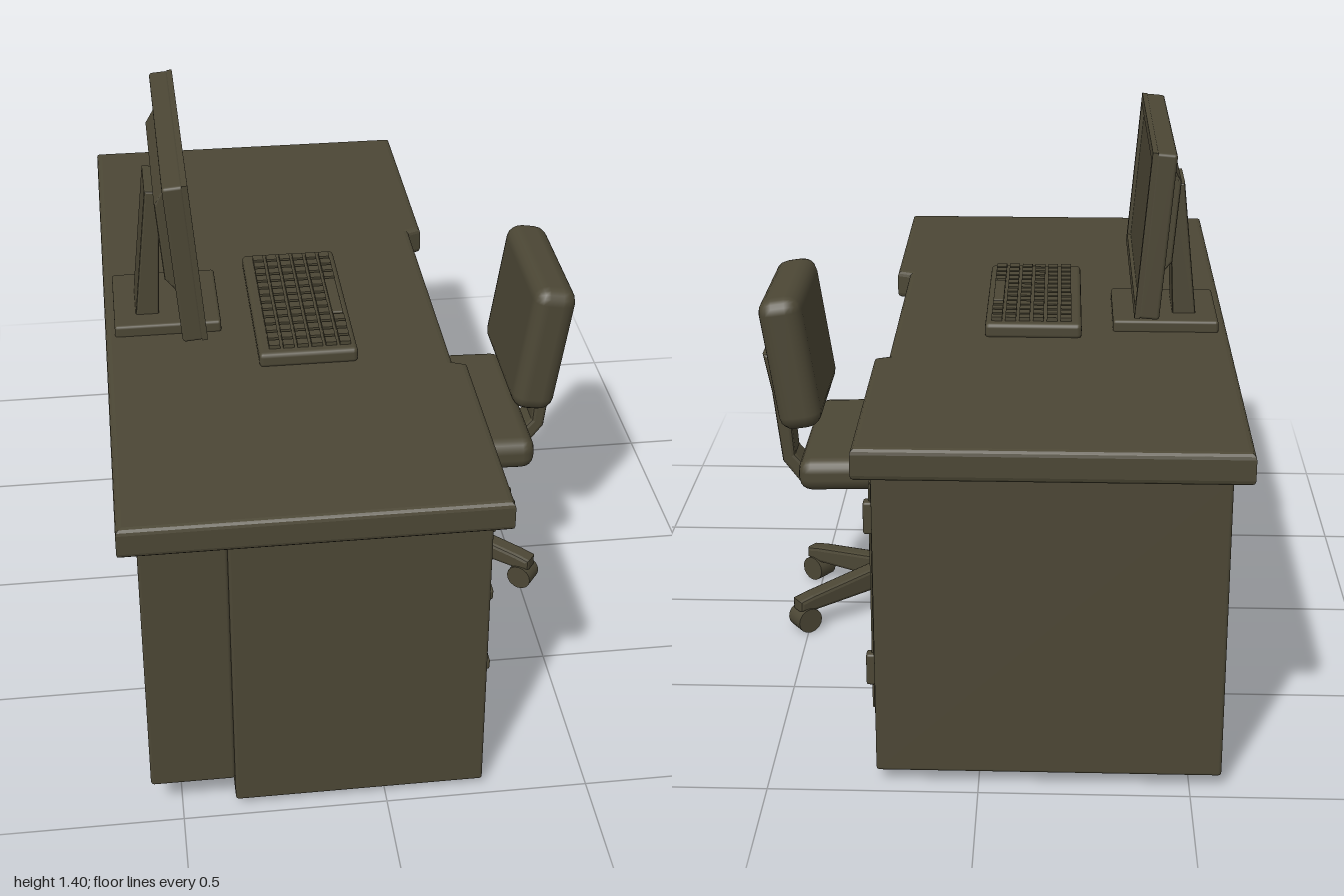
import * as THREE from 'three';
import { RoundedBoxGeometry } from 'three/addons/geometries/RoundedBoxGeometry.js';

export function createModel() {
  const olive = new THREE.MeshStandardMaterial({ color: 0x4c4735 });
  olive.name = 'darkOlive';
  const root = new THREE.Group();
  root.name = 'deskWithChair';

  const group = (name, parent = root) => {
    const g = new THREE.Group();
    g.name = name;
    parent.add(g);
    return g;
  };
  const add = (parent, name, geometry) => {
    const m = new THREE.Mesh(geometry, olive);
    m.name = name;
    parent.add(m);
    return m;
  };
  // Box given by its limits on each axis, with softened edges
  const box = (parent, name, x0, x1, y0, y1, z0, z1, r = 0.008) => {
    const m = add(parent, name, new RoundedBoxGeometry(x1 - x0, y1 - y0, z1 - z0, 2, r));
    m.position.set((x0 + x1) / 2, (y0 + y1) / 2, (z0 + z1) / 2);
    return m;
  };
  // Round bar between two points
  const bar = (parent, name, a, b, ra, rb = ra, sides = 14) => {
    const p = new THREE.Vector3(...a), q = new THREE.Vector3(...b);
    const d = q.clone().sub(p);
    const m = add(parent, name, new THREE.CylinderGeometry(rb, ra, d.length(), sides));
    m.position.copy(p).add(q).multiplyScalar(0.5);
    m.quaternion.setFromUnitVectors(new THREE.Vector3(0, 1, 0), d.normalize());
    return m;
  };
  // Side outline in x and y, extruded across z
  const slab = (parent, name, points, width, bevel = 0.006) => {
    const shape = new THREE.Shape(points.map(([x, y]) => new THREE.Vector2(x, y)));
    const g = new THREE.ExtrudeGeometry(shape, {
      depth: width - 2 * bevel, bevelSize: bevel, bevelThickness: bevel,
      bevelOffset: -bevel, bevelSegments: 2,
    });
    g.translate(0, 0, -width / 2 + bevel);
    return add(parent, name, g);
  };
  // Rectangular frame facing +x
  const frame = (parent, name, x0, depth, y0, y1, z0, z1, rim) => {
    const rect = (p, a, b, c, d) => p.moveTo(a, c).lineTo(b, c).lineTo(b, d).lineTo(a, d).closePath();
    const s = rect(new THREE.Shape(), -z1, -z0, y0, y1);
    s.holes.push(rect(new THREE.Path(), -z1 + rim, -z0 - rim, y0 + rim, y1 - rim));
    const g = new THREE.ExtrudeGeometry(s, { depth, bevelEnabled: false });
    g.rotateY(Math.PI / 2);
    const m = add(parent, name, g);
    m.position.x = x0;
    return m;
  };

  // Desk top, with the middle set back over the kneehole
  const desk = group('desk');
  const top = new THREE.Shape([
    [-0.62, -1], [0.285, -1], [0.285, -0.375], [0.25, -0.36], [0.25, 0.36],
    [0.285, 0.375], [0.285, 1], [-0.62, 1],
  ].map(([x, z]) => new THREE.Vector2(x, -z)).reverse());
  const topGeo = new THREE.ExtrudeGeometry(top, {
    depth: 0.05, bevelSize: 0.015, bevelThickness: 0.014, bevelOffset: -0.015, bevelSegments: 3,
  });
  topGeo.rotateX(-Math.PI / 2);
  add(desk, 'deskTop', topGeo).position.y = 0.806;

  // Cabinets and back panel
  box(desk, 'drawerCabinet', -0.37, 0.243, 0.02, 0.795, 0.41, 0.972);
  box(desk, 'doorCabinet', -0.575, 0.243, 0.035, 0.795, -0.965, -0.405);
  box(desk, 'backPanel', -0.575, -0.37, 0.09, 0.795, -0.41, 0.972);
  box(desk, 'kneeholeRail', -0.38, -0.355, 0.09, 0.17, -0.41, 0.42, 0.004);

  // Drawers with pull handles
  for (const [y0, y1, handleY] of [[0.55, 0.755, 0.64], [0.345, 0.53, 0.435], [0.12, 0.335, 0.215]]) {
    const drawer = group('drawer', desk);
    box(drawer, 'drawerFront', 0.235, 0.254, y0, y1, 0.482, 0.905, 0.006);
    box(drawer, 'drawerHandle', 0.272, 0.294, handleY - 0.016, handleY + 0.016, 0.607, 0.773, 0.008);
    for (const z of [0.63, 0.75]) box(drawer, 'handlePost', 0.25, 0.28, handleY - 0.011, handleY + 0.011, z - 0.012, z + 0.012, 0.004);
  }

  // Cupboard door with raised rim, handle and hinges
  const door = group('door', desk);
  box(door, 'doorPanel', 0.235, 0.25, 0.15, 0.755, -0.905, -0.472, 0.006);
  frame(door, 'doorRim', 0.249, 0.006, 0.165, 0.742, -0.892, -0.485, 0.02);
  box(door, 'doorHandle', 0.272, 0.292, 0.39, 0.545, -0.545, -0.517, 0.008);
  for (const y of [0.415, 0.52]) box(door, 'handlePost', 0.25, 0.28, y - 0.012, y + 0.012, -0.541, -0.521, 0.004);
  for (const y of [0.27, 0.66]) box(door, 'hinge', 0.245, 0.268, y - 0.04, y + 0.04, -0.905, -0.875, 0.006);

  // Monitor, built upright and leaned back
  const monitor = group('monitor');
  const head = group('monitorHead', monitor);
  head.position.set(-0.416, 1.183, 0);
  head.rotation.z = 0.083;
  box(head, 'screenCase', -0.03, 0.022, -0.212, 0.212, -0.36, 0.36, 0.008);
  frame(head, 'screenBezel', 0.018, 0.014, -0.212, 0.212, -0.36, 0.36, 0.024);
  slab(head, 'rearHousing', [[-0.02, -0.14], [-0.02, 0.17], [-0.055, 0.12], [-0.055, -0.09]], 0.5);
  slab(monitor, 'monitorStand', [[-0.54, 0.885], [-0.478, 0.885], [-0.462, 1.25], [-0.5, 1.253]], 0.16);
  box(monitor, 'standMount', -0.49, -0.44, 1.1, 1.22, -0.07, 0.07);
  box(monitor, 'monitorBase', -0.595, -0.32, 0.865, 0.9, -0.15, 0.14, 0.008);

  // Keyboard with rows of keys
  const keyboard = group('keyboard');
  box(keyboard, 'keyboardBody', -0.238, 0.013, 0.865, 0.906, -0.208, 0.335, 0.012);
  const keyGeo = new THREE.BoxGeometry(0.028, 0.012, 0.028);
  for (let row = 0; row < 6; row++) {
    for (let col = 0; col < 13; col++) {
      if (row === 0 && col > 3 && col < 9) continue;
      add(keyboard, 'key', keyGeo).position.set(-0.017 - row * 0.036, 0.91, 0.295 - col * 0.0385);
    }
  }
  box(keyboard, 'spaceBar', -0.031, -0.003, 0.898, 0.916, -0.03, 0.155, 0.004);

  // Chair: star base with casters
  const chair = group('officeChair');
  const base = group('chairBase', chair);
  base.position.set(0.28, 0, 0);
  bar(base, 'hub', [0, 0.055, 0], [0, 0.14, 0], 0.045, 0.06, 20);
  for (let i = 0; i < 5; i++) {
    const leg = group('leg', base);
    leg.rotation.y = Math.PI + i * Math.PI * 0.4;
    slab(leg, 'legArm', [[0.02, 0.075], [0.28, 0.058], [0.31, 0.065], [0.31, 0.095], [0.27, 0.104], [0.02, 0.143]], 0.05, 0.01);
    bar(leg, 'casterStem', [0.29, 0.035, 0], [0.29, 0.09, 0], 0.016);
    bar(leg, 'casterWheel', [0.285, 0.036, -0.03], [0.285, 0.036, 0.03], 0.035, 0.035, 16);
  }

  // Gas column
  const profile = [[0, 0.13], [0.058, 0.13], [0.052, 0.16], [0.045, 0.24], [0.04, 0.25], [0.036, 0.4], [0.055, 0.43], [0, 0.43]];
  const column = add(chair, 'gasColumn', new THREE.LatheGeometry(profile.map(([r, y]) => new THREE.Vector2(r, y)), 20));
  column.position.x = 0.28;

  // Seat, tilt mechanism and lever
  const seat = group('seat', chair);
  box(seat, 'seatCushion', 0.05, 0.508, 0.446, 0.535, -0.25, 0.255, 0.035).rotation.z = -0.025;
  box(seat, 'seatPan', 0.08, 0.48, 0.43, 0.47, -0.2, 0.2, 0.015);
  box(seat, 'tiltMechanism', 0.2, 0.36, 0.405, 0.445, -0.08, 0.08, 0.01);
  bar(seat, 'leverStem', [0.3, 0.425, -0.05], [0.3, 0.39, -0.13], 0.012);
  bar(seat, 'leverGrip', [0.3, 0.39, -0.12], [0.3, 0.335, -0.22], 0.016, 0.022);

  // Back support and backrest
  slab(chair, 'backSupport', [
    [0.3, 0.44], [0.38, 0.41], [0.49, 0.38], [0.53, 0.39], [0.575, 0.45], [0.598, 0.65],
    [0.62, 0.76], [0.58, 0.765], [0.55, 0.6], [0.54, 0.47], [0.51, 0.435],
  ], 0.1, 0.01);
  const backrest = box(chair, 'backrest', 0.47, 0.585, 0.597, 0.963, -0.21, 0.215, 0.04);
  backrest.rotation.z = -0.15;
  return root;
}
